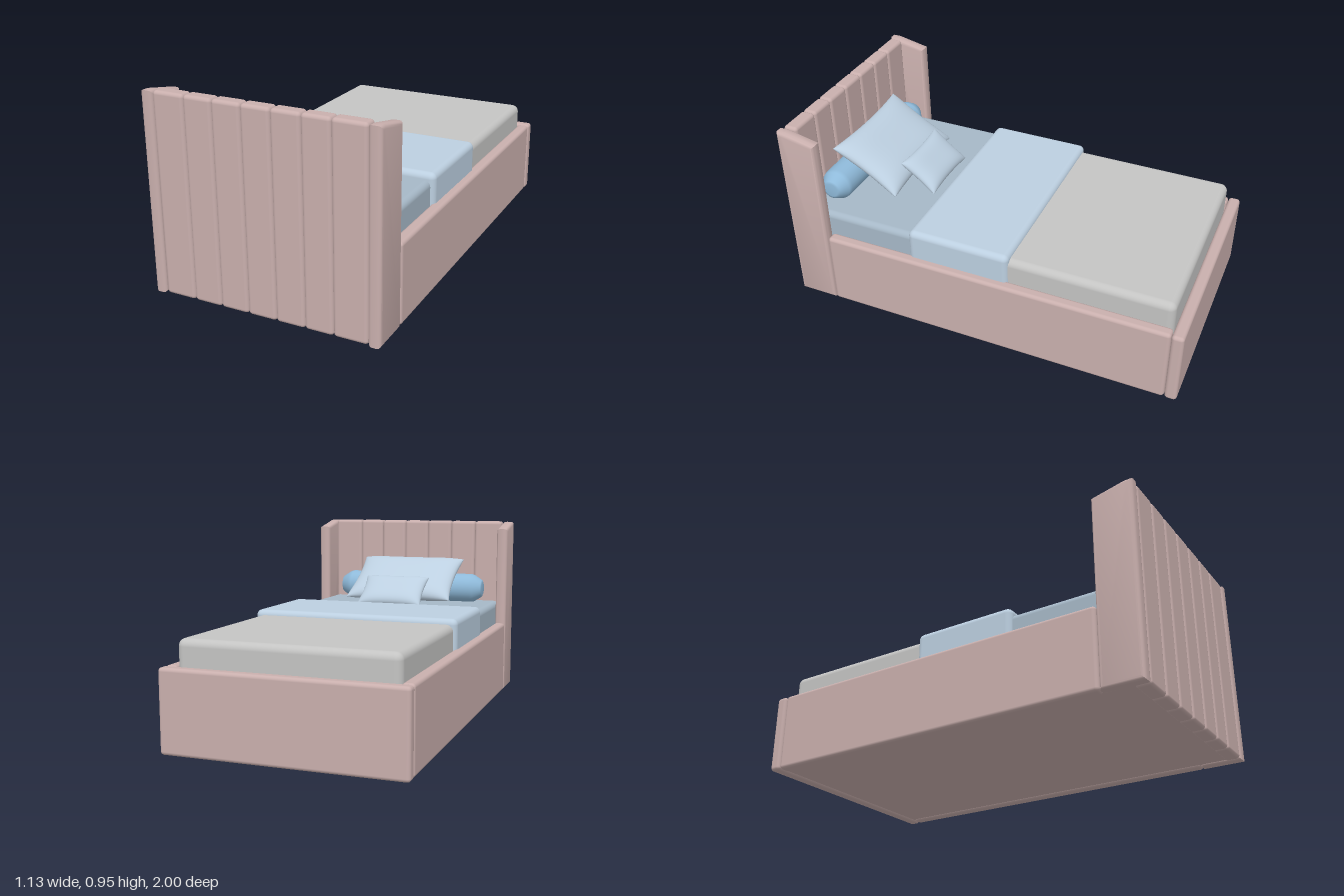
import * as THREE from 'three';
import { mergeGeometries, mergeVertices, toCreasedNormals } from 'three/addons/utils/BufferGeometryUtils.js';
import { RoundedBoxGeometry } from 'three/addons/geometries/RoundedBoxGeometry.js';

const mat = (name, color) => {
  const m = new THREE.MeshStandardMaterial({ color });
  m.name = name;
  return m;
};

// Soft cushion lying in the xz plane: two domed sheets with pinched-in edges
function cushionGeometry(w, d, t) {
  const half = (side) => {
    const g = new THREE.PlaneGeometry(2, 2, 24, 24);
    const p = g.attributes.position;
    for (let i = 0; i < p.count; i++) {
      const u = Math.sin((p.getX(i) * Math.PI) / 2);
      const v = Math.sin((p.getY(i) * Math.PI) / 2);
      const dome = Math.sqrt(Math.max(0, (1 - u ** 4) * (1 - v ** 4)));
      p.setXYZ(i,
        (side * u * w / 2) * (1 - 0.06 * (1 - v * v)),
        (side * dome * t) / 2,
        (-v * d / 2) * (1 - 0.08 * (1 - u * u)));
    }
    g.deleteAttribute('uv');
    g.deleteAttribute('normal');
    return g;
  };
  const g = mergeVertices(mergeGeometries([half(1), half(-1)]), 1e-5);
  g.computeVertexNormals();
  return g;
}

export function createModel() {
  const bed = new THREE.Group();
  bed.name = 'bed';

  const upholstery = mat('dusty pink upholstery', 0xc9afad);
  const mattressGrey = mat('mattress grey', 0xc4c4c3);
  const sheetBlue = mat('sheet blue', 0xa6b8c7);
  const linenBlue = mat('linen blue', 0xbccfe0);
  const bolsterBlue = mat('bolster blue', 0x8fbada);

  const add = (name, geometry, material) => {
    const mesh = new THREE.Mesh(geometry, material);
    mesh.name = name;
    bed.add(mesh);
    return mesh;
  };
  // Rounded box given by its limits on each axis
  const box = (name, [x0, x1], [y0, y1], [z0, z1], r, material) => {
    const mesh = add(name, new RoundedBoxGeometry(x1 - x0, y1 - y0, z1 - z0, 4, r), material);
    mesh.position.set((x0 + x1) / 2, (y0 + y1) / 2, (z0 + z1) / 2);
    return mesh;
  };

  // Headboard of vertical padded channels
  const seams = [-0.505, -0.35, -0.21, -0.07, 0.07, 0.21, 0.345, 0.505];
  for (let i = 0; i < 7; i++) {
    box('headboardChannel', [seams[i], seams[i + 1]], [0, 0.95], [0.925, 0.997], 0.017, upholstery);
  }

  // Headboard wings with sloping tops
  const b = 0.018;
  const outline = new THREE.Shape([
    new THREE.Vector2(0.8 + b, b),
    new THREE.Vector2(1 - b, b),
    new THREE.Vector2(1 - b, 0.947 - b),
    new THREE.Vector2(0.965, 0.947 - b),
    new THREE.Vector2(0.8 + b, 0.916 - b),
  ]);
  let wing = new THREE.ExtrudeGeometry(outline, {
    depth: 0.06 - 2 * b, bevelSize: b, bevelThickness: b, bevelSegments: 4,
  });
  wing.translate(0, 0, -(0.06 - 2 * b) / 2);
  wing.rotateY(-Math.PI / 2);
  wing = toCreasedNormals(wing, 0.6);
  for (const s of [-1, 1]) {
    add(s > 0 ? 'leftWing' : 'rightWing', wing, upholstery).position.x = s * 0.535;
    // Side rails
    const x = s > 0 ? [0.505, 0.563] : [-0.563, -0.505];
    box(s > 0 ? 'leftRail' : 'rightRail', x, [0, 0.385], [-0.94, 0.797], 0.017, upholstery);
  }

  // Footboard and closed base
  box('footboard', [-0.565, 0.565], [0, 0.385], [-1, -0.942], 0.017, upholstery);
  add('base', new THREE.BoxGeometry(1.03, 0.2, 1.9), upholstery).position.set(0, 0.11, -0.01);

  // Mattress and bedding
  box('mattress', [-0.508, 0.508], [0.15, 0.504], [-0.936, 0], 0.035, mattressGrey);
  box('sheet', [-0.504, 0.504], [0.15, 0.497], [-0.1, 0.925], 0.03, sheetBlue);
  box('blanket', [-0.525, 0.525], [0.25, 0.53], [-0.15, 0.365], 0.03, linenBlue);

  // Bolster with tapered ends
  const profile = [[0, -0.423], [0.035, -0.423], [0.048, -0.418], [0.076, -0.375], [0.081, -0.355],
    [0.081, 0.355], [0.076, 0.375], [0.048, 0.418], [0.035, 0.423], [0, 0.423]];
  const bolster = new THREE.LatheGeometry(profile.map(([r, y]) => new THREE.Vector2(r, y)), 32);
  bolster.rotateZ(Math.PI / 2);
  add('bolster', bolster, bolsterBlue).position.set(0, 0.572, 0.838);

  // Cushions leaning back towards the headboard
  const large = add('largePillow', cushionGeometry(0.6, 0.39, 0.11), linenBlue);
  large.position.set(0, 0.63, 0.718);
  large.rotation.x = -THREE.MathUtils.degToRad(31);
  const small = add('smallPillow', cushionGeometry(0.36, 0.225, 0.078), linenBlue);
  small.position.set(0, 0.58, 0.488);
  small.rotation.x = -THREE.MathUtils.degToRad(38);

  return bed;
}
